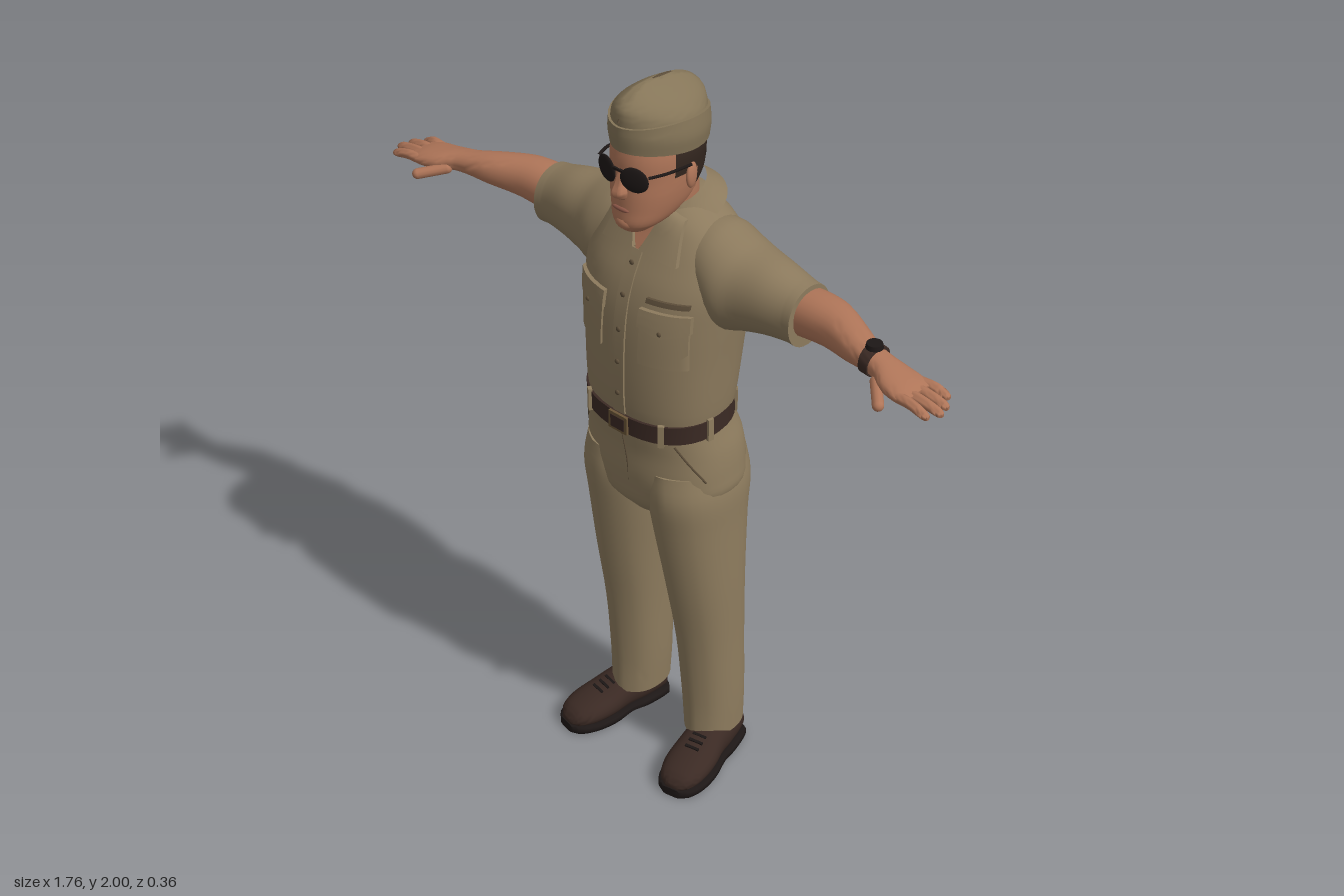
import * as THREE from 'three';
import { toCreasedNormals } from 'three/addons/utils/BufferGeometryUtils.js';

const mat = (name, color, side = THREE.FrontSide) => Object.assign(new THREE.MeshStandardMaterial({ color, side }), { name });
const shirt = mat('shirt khaki', 0x8c7a5d, THREE.DoubleSide), trousers = mat('trouser khaki', 0x8f7d5f);
const cap = mat('cap khaki', 0x857558), skin = mat('skin', 0xb07659), lip = mat('lip', 0x8c5747);
const hair = mat('hair', 0x33261f, THREE.DoubleSide), leather = mat('brown leather', 0x3b2a24);
const glass = mat('dark glass', 0x1d1716), trim = mat('dark trim', 0x5d4e3a), bronze = mat('bronze', 0x6b5638);

// Rows are [position along axis, centre u, centre v, radius u, radius v]; add smooth rows between them
function smooth(rows, k = 4) {
  const out = [];
  for (let i = 0; i < rows.length - 1; i++) {
    const a = rows[Math.max(i - 1, 0)], b = rows[i], c = rows[i + 1], d = rows[Math.min(i + 2, rows.length - 1)];
    const len = c[0] - b[0];
    for (let s = 0; s < k; s++) {
      const t = s / k, t2 = t * t, t3 = t2 * t;
      out.push(b.map((v, q) => (2 * t3 - 3 * t2 + 1) * v + (3 * t2 - 2 * t3) * c[q]
        + (t3 - 2 * t2 + t) * len * (c[q] - a[q]) / (c[0] - a[0]) + (t3 - t2) * len * (d[q] - v) / (d[0] - b[0])));
    }
  }
  return [...out, rows[rows.length - 1]];
}

const pow = (v, p) => Math.sign(v) * Math.abs(v) ** (2 / p);
const place = { x: (w, u, v) => [w, u, v], y: (w, u, v) => [v, w, u], z: (w, u, v) => [u, v, w] };

// Rounded tube through cross-sections; an arc leaves it open
function loft(rows, axis, { n = 32, p = 2.2, k = 4, arc = 0, crease = 0, move, angle = 0.8 } = {}) {
  const dense = smooth(rows, k), pos = [], idx = [], m = n + 1;
  for (const [w, uc, vc, ru, rv] of dense) for (let j = 0; j <= n; j++) {
    const t = arc + (2 * Math.PI - 2 * arc) * (j % n === 0 && !arc ? 0 : j / n);
    const c = Math.cos(t), ridge = crease * Math.max(0, Math.abs(c) - 0.95) * 20;
    pos.push(...place[axis](w, uc + pow(c, p) * (ru + ridge), vc + pow(Math.sin(t), p) * rv));
  }
  for (let i = 0; i < dense.length - 1; i++) for (let j = 0; j < n; j++) {
    const a = i * m + j, d = a + m;
    idx.push(a, a + 1, d + 1, a, d + 1, d);
  }
  if (!arc) [0, dense.length - 1].forEach((i, end) => {
    const centre = pos.length / 3;
    pos.push(...place[axis](dense[i][0], dense[i][1], dense[i][2]));
    for (let j = 0; j < n; j++) idx.push(centre, i * m + j + (end ? 0 : 1), i * m + j + (end ? 1 : 0));
  });
  if (move) for (let i = 0; i < pos.length; i += 3) pos[i + 1] += move(pos[i], pos[i + 1], pos[i + 2]);
  const g = new THREE.BufferGeometry();
  g.setAttribute('position', new THREE.Float32BufferAttribute(pos, 3));
  g.setIndex(idx);
  return toCreasedNormals(g, angle);
}

// Row of a body at a given height
function rowAt(rows, y) {
  let i = 0;
  while (i < rows.length - 2 && rows[i + 1][0] < y) i++;
  const t = THREE.MathUtils.clamp((y - rows[i][0]) / (rows[i + 1][0] - rows[i][0]), 0, 1);
  return rows[i].map((v, q) => v + (rows[i + 1][q] - v) * t);
}

function mirror(geo) {
  const g = geo.clone().scale(-1, 1, 1);
  for (const a of Object.values(g.attributes)) for (let i = 0; i < a.count; i += 3) for (let c = 0; c < a.itemSize; c++) {
    const v = a.getComponent(i + 1, c);
    a.setComponent(i + 1, c, a.getComponent(i + 2, c));
    a.setComponent(i + 2, c, v);
  }
  return g;
}

const torsoRows = [
  [1.11, .01, 0, .138, .188], [1.17, .005, 0, .15, .196], [1.3, -.005, 0, .16, .204], [1.42, -.016, 0, .161, .213],
  [1.5, -.026, 0, .15, .217], [1.57, -.04, 0, .129, .2], [1.62, -.045, 0, .11, .165], [1.66, -.043, 0, .093, .115], [1.69, -.04, 0, .07, .08]];
const torsoDense = smooth(torsoRows), P = 2.3;
function chestZ(x, y) {
  const [, zc, , rz, rx] = rowAt(torsoDense, y);
  return zc + rz * (1 - Math.min(Math.abs(x / rx), .97) ** P) ** (1 / P);
}

// Thin plate draped on the chest; corners: top inner, top outer, bottom outer, bottom inner
function patch([ti, to, bo, bi], off = .006, point = 0) {
  const g = new THREE.BoxGeometry(1, 1, 1, 8, 8, 1), a = g.attributes.position;
  for (let i = 0; i < a.count; i++) {
    const s = a.getX(i) + .5, t = a.getY(i) + .5;
    const mix = q => (ti[q] * (1 - s) + to[q] * s) * t + (bi[q] * (1 - s) + bo[q] * s) * (1 - t);
    const x = mix(0), y = mix(1) - point * (1 - t) * (1 - Math.abs(2 * s - 1));
    a.setXYZ(i, x, y, chestZ(x, y) + (a.getZ(i) > 0 ? off : -.004));
  }
  return toCreasedNormals(g, .8);
}
const rect = (x0, x1, y0, y1) => [[x0, y1], [x1, y1], [x1, y0], [x0, y0]];

export function createModel() {
  const root = new THREE.Group();
  root.name = 'uniformedMan';
  const add = (name, geo, material, both = false) => {
    const g = geo.index ? geo.toNonIndexed() : geo;
    for (const side of both ? [g, mirror(g)] : [g]) {
      const m = new THREE.Mesh(side, material);
      m.name = both ? (side === g ? 'left ' : 'right ') + name : name;
      root.add(m);
    }
  };
  const ball = (x, y, z, sx, sy, sz, ry = 0) => new THREE.SphereGeometry(1, 20, 14).scale(sx, sy, sz).rotateY(ry).translate(x, y, z);
  const rod = (points, r) => new THREE.TubeGeometry(new THREE.CatmullRomCurve3(points.map(p => new THREE.Vector3(...p))), 10, r, 6);

  // Shirt
  add('shirt body', loft(torsoRows, 'y', { p: P, n: 40 }), shirt);
  add('sleeve', loft([[.08, 1.555, -.05, .09, .09], [.15, 1.535, -.05, .112, .108], [.2, 1.51, -.047, .122, .112], [.25, 1.508, -.05, .108, .1],
    [.32, 1.512, -.048, .093, .085], [.385, 1.506, -.05, .081, .074], [.412, 1.503, -.05, .079, .074]], 'x', { p: 2.1 }), shirt, true);
  add('placket', patch(rect(-.018, .018, 1.14, 1.575), .005), shirt);
  for (const y of [1.2, 1.29, 1.38, 1.47, 1.545]) add('button', ball(0, y, chestZ(0, y) + .006, .007, .007, .004), trim);
  add('chest pocket', patch(rect(.06, .172, 1.31, 1.43), .006), shirt, true);
  add('pocket flap', patch(rect(.056, .176, 1.412, 1.458), .011, .018), shirt, true);
  add('pocket button', ball(.116, 1.408, chestZ(.116, 1.408) + .012, .006, .006, .004), trim, true);
  add('ribbon bar', patch(rect(.068, .168, 1.474, 1.486), .007), trim);
  add('open neck', patch([[-.055, 1.67], [.055, 1.67], [.004, 1.575], [-.004, 1.575]], .004), skin);
  add('lapel', patch([[.05, 1.68], [.095, 1.66], [.118, 1.565], [.01, 1.578]], .011), shirt, true);
  add('collar', loft([[1.635, -.045, 0, .112, .122], [1.67, -.038, 0, .088, .095], [1.695, -.032, 0, .076, .08]], 'y',
    { arc: .75, move: (x, y, z) => -.35 * z }), shirt);

  // Arms and hands
  add('arm', loft([[.36, 1.505, -.055, .06, .06], [.44, 1.513, -.053, .057, .06], [.5, 1.517, -.045, .052, .057], [.58, 1.52, -.015, .041, .048],
    [.64, 1.52, .005, .031, .037], [.68, 1.518, .014, .027, .038], [.72, 1.513, .026, .025, .05], [.77, 1.508, .032, .02, .055],
    [.8, 1.505, .032, .014, .05]], 'x', { n: 24 }), skin, true);
  [[-.008, -.015, .848], [.02, .018, .87], [.047, .048, .878], [.072, .078, .862]].forEach(([z0, z1, end]) =>
    add('finger', loft([[.765, 1.508, z0, .013, .014], [.81, 1.508, (z0 + z1) / 2, .013, .013], [end - .015, 1.5, z1, .011, .0115],
      [end - .004, 1.497, z1, .007, .008], [end, 1.496, z1, .002, .002]], 'x', { n: 12, p: 2, angle: 1.5 }), skin, true));
  const thumb = new THREE.CapsuleGeometry(.014, .075, 6, 12).rotateZ(-Math.PI / 2).rotateY(-.8).rotateZ(-.25);
  add('thumb', thumb.translate(.718, 1.497, .08), skin, true);
  add('watch strap', loft([[.634, 1.52, .004, .036, .042], [.662, 1.519, .008, .034, .042]], 'x', { k: 1 }), leather);
  add('watch case', new THREE.CylinderGeometry(.019, .021, .012, 20).translate(.648, 1.557, .006), glass);

  // Trousers
  const hips = [[.81, -.015, 0, .1, .08], [.86, -.015, 0, .14, .17], [.91, -.015, 0, .151, .212], [.96, -.014, 0, .156, .214],
    [1.03, -.011, 0, .153, .207], [1.09, .002, 0, .146, .194], [1.13, .01, 0, .138, .187]];
  add('trouser seat', loft(hips, 'y', { p: 2.3, n: 40 }), trousers);
  add('trouser leg', loft([[.085, -.057, .133, .086, .068], [.2, -.056, .13, .087, .075], [.4, -.045, .126, .094, .081], [.6, -.028, .121, .111, .091],
    [.8, -.017, .111, .134, .103], [.9, -.015, .108, .147, .107], [.98, -.014, .1, .14, .1]], 'y', { crease: .006 }), trousers, true);
  const onHips = (y, t, out = .001) => {
    const [, zc, , rz, rx] = rowAt(smooth(hips), y);
    return [pow(Math.sin(t), 2.3) * (rx + out), y, zc + pow(Math.cos(t), 2.3) * (rz + out)];
  };
  add('pocket seam', rod([onHips(1.08, .75), onHips(1.03, .9), onHips(.97, 1.15)], .003), trim, true);
  add('fly seam', rod([[0, 1.08, .148], [.012, 1.0, .143], [.012, .93, .137]], .002), trim);

  // Belt, dipping toward the front
  const dip = (x, y, z) => -.09 * z;
  add('belt', loft([[1.1, .008, 0, .149, .195], [1.15, .01, 0, .148, .195]], 'y', { k: 1, n: 40, p: 2.3, move: dip }), leather);
  for (const t of [.6, 1.4, 2.2, 2.8]) {
    const x = pow(Math.sin(t), 2.3) * .196, z = .009 + pow(Math.cos(t), 2.3) * .15;
    add('belt loop', new THREE.BoxGeometry(.016, .062, .01).rotateY(t).translate(x, 1.125 - .09 * z, z), trousers, true);
  }
  add('buckle', new THREE.BoxGeometry(.06, .05, .01).translate(0, 1.111, .158), bronze);
  add('buckle plate', new THREE.BoxGeometry(.044, .034, .01).translate(0, 1.111, .16), leather);

  // Shoes, turned outward
  const turn = g => g.rotateY(.2).translate(.158, 0, 0);
  const upper = [[-.137, 0, .05, .028, .03], [-.125, 0, .058, .045, .046], [-.05, 0, .062, .054, .056], [0, 0, .062, .056, .054],
    [.06, 0, .05, .063, .042], [.12, 0, .043, .06, .034], [.162, 0, .037, .043, .023], [.178, 0, .03, .02, .012]];
  add('shoe', turn(loft(upper, 'z', { n: 24 })), leather, true);
  add('shoe sole', turn(loft(upper.map(([z, , , r]) => [z * 1.02, 0, z > -.04 && z < .05 ? .018 : .013, r + .006, z > -.04 && z < .05 ? .01 : .013]),
    'z', { n: 24, p: 5 })), glass, true);
  for (const [z, y] of [[.035, .1], [.055, .095], [.075, .089]])
    add('lace', turn(new THREE.BoxGeometry(.04, .006, .007).rotateX(.3).translate(0, y, z)), glass, true);

  // Head and face
  const head = [[1.643, .09, 0, .04, .035], [1.665, .064, 0, .08, .06], [1.7, .037, 0, .107, .077], [1.74, .027, 0, .116, .086],
    [1.78, .02, 0, .12, .09], [1.83, .02, 0, .12, .092], [1.88, .02, 0, .11, .086]];
  add('neck', loft([[1.58, -.04, 0, .07, .072], [1.66, -.018, 0, .076, .07], [1.72, -.008, 0, .08, .073], [1.78, 0, 0, .08, .07]], 'y'), skin);
  add('head', loft(head, 'y', { angle: 1.2 }), skin);
  add('chin', ball(0, 1.668, .124, .03, .022, .024), skin);
  add('nose', loft([[1.733, .132, 0, .016, .014], [1.748, .139, 0, .028, .02], [1.775, .136, 0, .022, .014], [1.81, .132, 0, .014, .01]], 'y',
    { n: 14, p: 2, angle: 1.2 }), skin);
  add('lips', ball(0, 1.706, .143, .026, .006, .006), lip);
  add('ear', ball(.094, 1.775, .005, .01, .034, .021, .25), skin, true);
  const grow = (y, d) => { const [, zc, , rz, rx] = rowAt(smooth(head), y); return [y, zc, 0, rz + d, rx + d]; };
  add('upper hair', loft([grow(1.785, .003), grow(1.83, .006), grow(1.87, .004)], 'y', { arc: 1.3 }), hair);
  add('back hair', loft([grow(1.735, .001), grow(1.76, .004), grow(1.795, .005)], 'y', { arc: 1.85 }), hair);

  // Sunglasses
  add('lens', ball(.043, 1.797, .142, .037, .032, .007, .28), glass, true);
  add('glasses bridge', new THREE.BoxGeometry(.03, .006, .006).translate(0, 1.812, .15), glass);
  add('glasses arm', rod([[.078, 1.812, .134], [.093, 1.811, .09], [.098, 1.805, .01]], .004), glass, true);

  // Folded cap, higher at the front
  const lean = (x, y, z) => .1 * z;
  add('cap crown', loft([[1.86, .01, 0, .132, .098], [1.92, .012, 0, .134, .094], [1.95, .011, 0, .13, .074], [1.975, .01, 0, .105, .044],
    [1.99, .012, 0, .075, .02], [1.997, .015, 0, .045, .006]], 'y', { p: 1.85, move: lean }), cap);
  add('cap turn-up', loft([[1.842, .01, 0, .136, .101], [1.88, .011, 0, .14, .106], [1.922, .012, 0, .14, .101]], 'y',
    { p: 1.85, move: (x, y, z) => .1 * z + (y > 1.9 ? .015 * Math.cos(z * 12) - .012 : 0) }), cap);
  add('cap ridge', rod([[0, 1.93, .148], [0, 1.972, .115], [0, 1.996, .05], [0, 1.993, -.02], [0, 1.962, -.09], [0, 1.92, -.122]], .004), trim);
  add('cap pin', ball(.06, 1.893, .108, .012, .012, .006, .6), bronze);
  return root;
}
